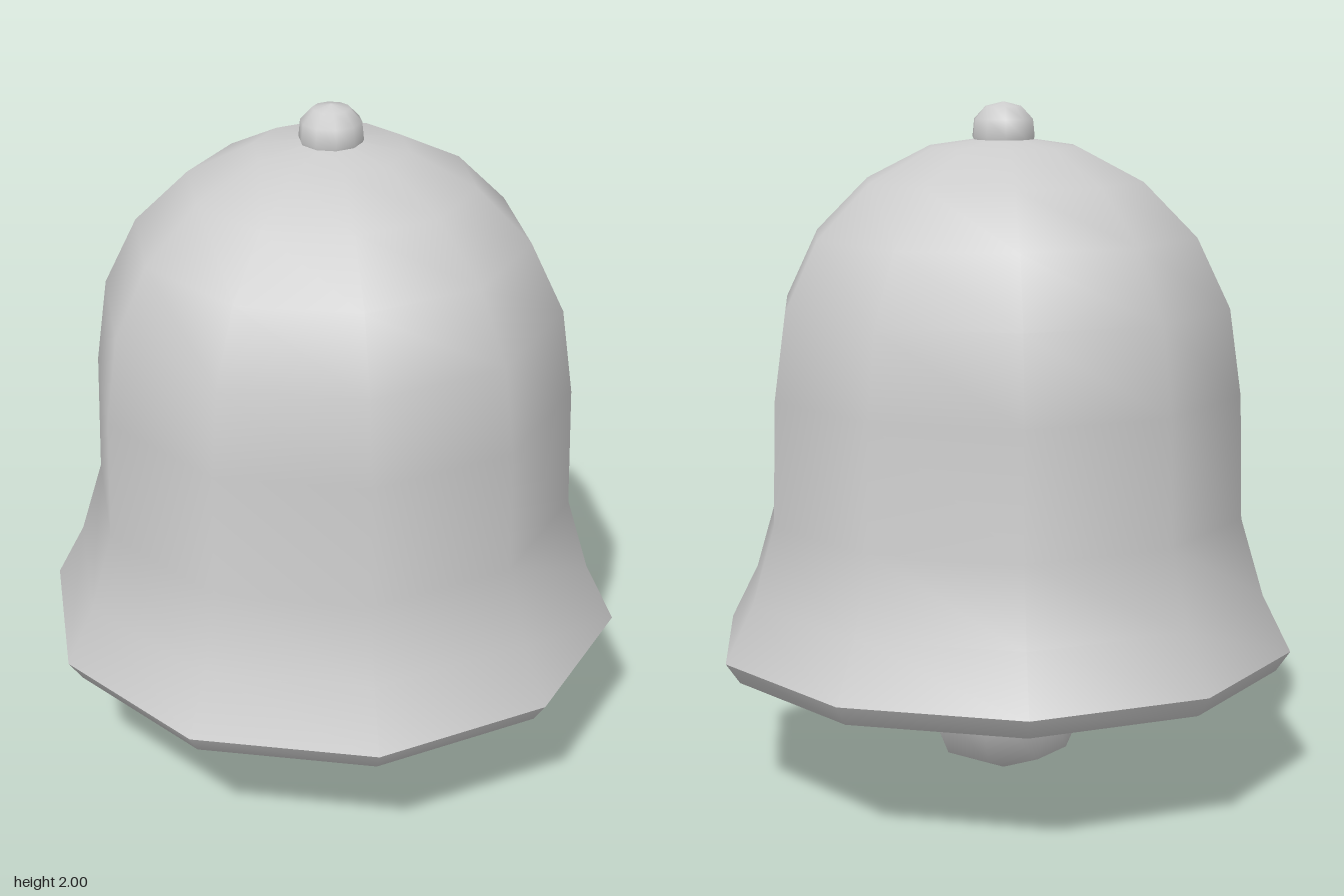
import * as THREE from 'three';

const material = new THREE.MeshStandardMaterial({ color: 0xcccccc });

// Smooth revolved surface with a corner on the x axis; points run bottom to top for an outward face
function turned(name, points, sides = 10) {
  const profile = points.map(([r, y]) => new THREE.Vector2(r, y));
  const geometry = new THREE.LatheGeometry(profile, sides, Math.PI / 2);
  const mesh = new THREE.Mesh(geometry, material);
  mesh.name = name;
  return mesh;
}

export function createModel() {
  const bell = new THREE.Group();
  bell.name = 'bell';

  // Outer wall, from flared mouth to crown
  bell.add(turned('outerShell', [
    [0.859, 0.42], [0.775, 0.585], [0.708, 0.81], [0.699, 1.17], [0.664, 1.42],
    [0.567, 1.62], [0.411, 1.775], [0.22, 1.872], [0, 1.905],
  ]));

  // Rounded lip, from the inner edge of the mouth to the outer edge
  bell.add(turned('lip', [[0.75, 0.36], [0.818, 0.36], [0.859, 0.42]]));

  // Inner wall, listed top to bottom so it faces the hollow
  bell.add(turned('innerShell', [
    [0, 1.82], [0.19, 1.79], [0.355, 1.705], [0.49, 1.57], [0.577, 1.39],
    [0.61, 1.17], [0.618, 0.81], [0.677, 0.56], [0.75, 0.36],
  ]));

  // Knob on the crown
  bell.add(turned('topKnob', [
    [0.08, 1.87], [0.092, 1.9], [0.087, 1.95], [0.053, 1.986], [0, 1.999],
  ]));

  // Clapper: rod hanging from the crown with a faceted ball
  const clapper = new THREE.Group();
  clapper.name = 'clapper';
  const rod = new THREE.Mesh(new THREE.CylinderGeometry(0.072, 0.072, 1.34, 8), material);
  rod.name = 'clapperRod';
  rod.position.y = 1.17;
  const ball = new THREE.Mesh(new THREE.SphereGeometry(0.273, 8, 4), material);
  ball.name = 'clapperBall';
  ball.position.y = 0.273;
  clapper.add(rod, ball);
  bell.add(clapper);

  return bell;
}
